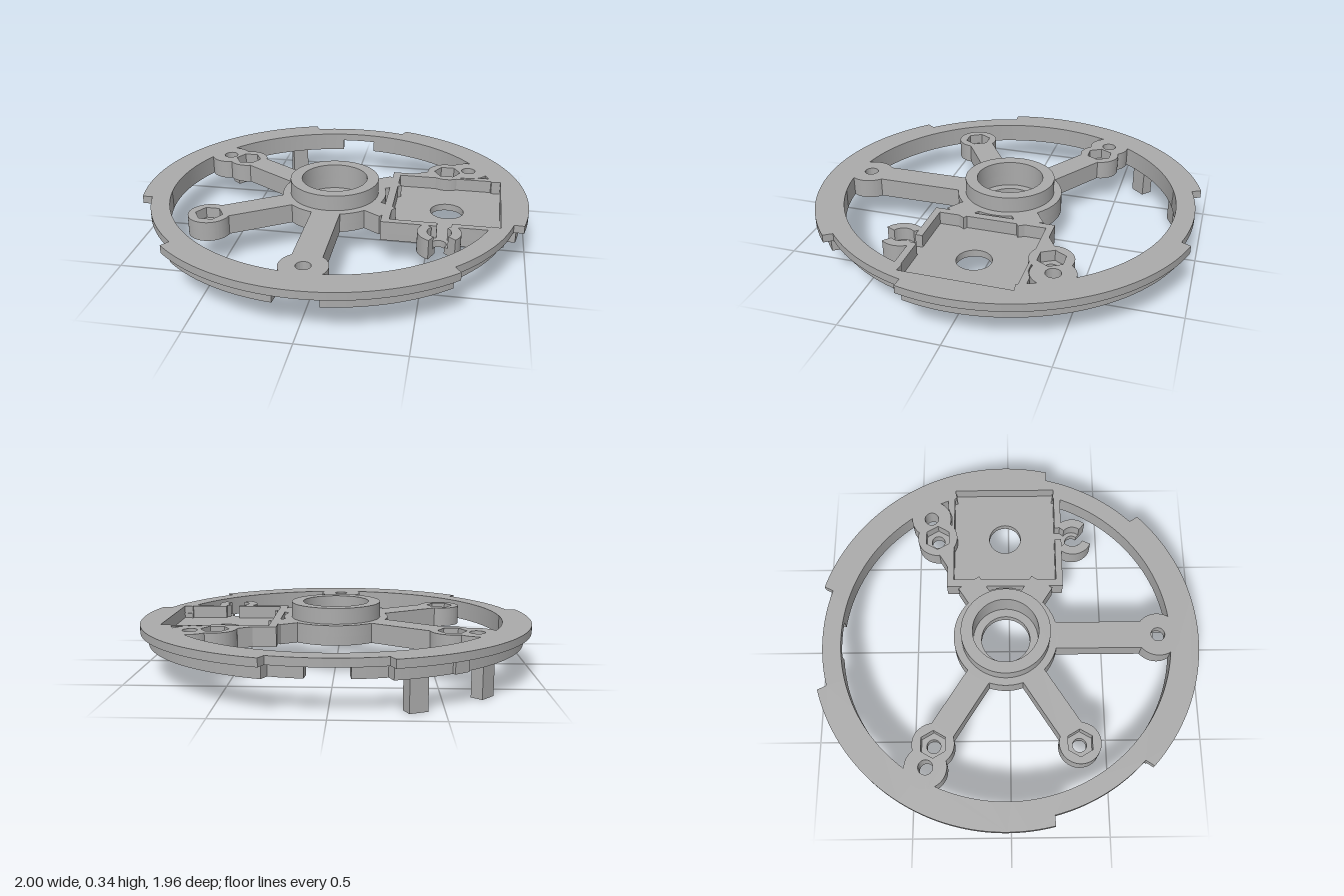
import * as THREE from 'three';
import { toCreasedNormals } from 'three/addons/utils/BufferGeometryUtils.js';

const CZ = -0.02; // z of the wheel centre
const BOTTOM = 0.155, STEP = 0.215, TOP = 0.255;
const V = (x, z) => new THREE.Vector2(x, z);

export function createModel() {
  const model = new THREE.Group();
  const grey = new THREE.MeshStandardMaterial({ color: 0xaaaaaa });
  grey.name = 'grey plastic';

  // Extrude a plan drawn in x,z between two heights
  function slab(name, shape, y0, y1) {
    let geo = new THREE.ExtrudeGeometry(shape, { depth: y1 - y0, bevelEnabled: false, curveSegments: 40 });
    geo.rotateX(Math.PI / 2).translate(0, y1, 0);
    geo = toCreasedNormals(geo, 0.5);
    const mesh = new THREE.Mesh(geo, grey);
    mesh.name = name;
    model.add(mesh);
    return mesh;
  }
  const disc = (x, z, r) => new THREE.Shape().absarc(x, z, r, 0, Math.PI * 2, false);
  const hole = (x, z, r) => new THREE.Path().absarc(x, z, r, 0, Math.PI * 2, true);
  const hexHole = (x, z, r) => new THREE.Path(Array.from({ length: 6 }, (_, i) =>
    V(x + r * Math.cos(-i * Math.PI / 3), z + r * Math.sin(-i * Math.PI / 3))));
  const withHoles = (shape, ...holes) => { shape.holes.push(...holes); return shape; };

  // Rim: radius rules with three outer recesses and a flat beside the pocket
  const inRecess = a => [-90, 30, 150].some(d => Math.cos(a - d * Math.PI / 180) > Math.cos(0.285));
  const outer = r => a => inRecess(a) ? r - 0.05 : r;
  const inner = a => Math.cos(a) > 0 && Math.abs(0.86 * Math.tan(a)) < 0.272 ? 0.86 / Math.cos(a) : 0.855;
  function arcPoints(rule, a0, a1) {
    const n = Math.round((a1 - a0) / (Math.PI / 360));
    return Array.from({ length: n + 1 }, (_, i) => {
      const a = a0 + (a1 - a0) * i / n, r = rule(a);
      return V(r * Math.cos(a), CZ + r * Math.sin(a));
    });
  }
  const full = rule => arcPoints(rule, 0, Math.PI * 2).slice(0, -1);
  slab('upperRim', withHoles(new THREE.Shape(full(outer(1))), new THREE.Path(full(inner).reverse())), STEP, TOP);
  // Lower rim: two halves, with gaps at the front and back
  for (const start of [-Math.PI / 2, Math.PI / 2]) {
    const a0 = start + 0.11, a1 = start + Math.PI - 0.11;
    slab('lowerRim', new THREE.Shape([...arcPoints(outer(0.96), a0, a1), ...arcPoints(inner, a0, a1).reverse()]), BOTTOM, STEP);
  }

  // Hub with a stepped bore and raised collar
  slab('hubFloor', withHoles(disc(0, CZ, 0.27), hole(0, CZ, 0.127)), BOTTOM, 0.2);
  slab('hubBase', withHoles(disc(0, CZ, 0.27), hole(0, CZ, 0.17)), 0.2, TOP);
  slab('hubCollar', withHoles(disc(0, CZ, 0.23), hole(0, CZ, 0.17)), TOP, 0.335);

  // Spokes, measured outwards from the hub centre
  function spoke(x, z, r0, r1, w, y1 = TOP) {
    const l = Math.hypot(x, z - CZ), dx = x / l, dz = (z - CZ) / l;
    const p = (r, s) => V(dx * r - dz * s, CZ + dz * r + dx * s);
    slab('spoke', new THREE.Shape([p(r0, -w), p(r1, -w), p(r1, w), p(r0, w)]), BOTTOM, y1);
  }
  spoke(0, 0.77, 0.22, 0.725, 0.072);
  spoke(-0.57, -0.385, 0.22, 0.6, 0.065);
  spoke(-0.57, 0.345, 0.22, 0.6, 0.065);
  spoke(0.57, -0.385, 0.22, 0.36, 0.065);
  spoke(0.57, 0.345, 0.22, 0.36, 0.065);

  // Layers of a nut seat: round hole below, hexagon above
  function nutSeat(name, makeShape, x, z, ...extra) {
    slab(name, withHoles(makeShape(), hole(x, z, 0.035), ...extra), BOTTOM, 0.2);
    slab(name, withHoles(makeShape(), hexHole(x, z, 0.07), ...extra), 0.2, TOP);
  }
  nutSeat('frontNutBoss', () => disc(-0.57, 0.345, 0.105), -0.57, 0.345);

  // Back double bosses, one nut seat and one screw hole each
  for (const s of [-1, 1]) {
    const ax = s * 0.57, az = -0.385, bx = s * 0.685, bz = -0.42, r = 0.106;
    const t = Math.atan2(bz - az, bx - ax);
    const k = Math.acos(Math.hypot(bx - ax, bz - az) / 2 / r);
    const outline = () => new THREE.Shape()
      .absarc(ax, az, r, t + k, t - k + Math.PI * 2, false)
      .absarc(bx, bz, r, t + Math.PI + k, t + Math.PI * 3 - k, false);
    nutSeat('backDoubleBoss', outline, ax, az, hole(bx, bz, 0.037));
  }
  // Fillet between the right back spoke and the double boss
  slab('bossWeb', new THREE.Shape([V(0.38, -0.32), V(0.47, -0.375), V(0.5, -0.31), V(0.4, -0.31)]), BOTTOM, TOP);

  // Front screw boss, slotted underneath
  const h = 0.42;
  slab('frontScrewBossBase', new THREE.Shape()
    .absarc(0, 0.77, 0.115, Math.PI / 2 + h, Math.PI * 2.5 - h, false)
    .lineTo(0.047, 0.75).lineTo(-0.047, 0.75), BOTTOM, 0.21);
  slab('frontScrewBoss', withHoles(disc(0, 0.77, 0.115), hole(0, 0.77, 0.036)), 0.21, TOP);

  // Square pocket: floor and surrounding wall
  const back = [V(0.28, -0.33), V(0.46, -0.33), V(0.48, -0.31), V(0.7, -0.31), V(0.75, -0.33), V(0.81, -0.33), V(0.88, -0.3)];
  slab('pocketFloor', withHoles(new THREE.Shape([V(0.28, 0.285), ...back, V(0.88, 0.26), V(0.83, 0.285)]),
    hole(0.59, CZ, 0.085)), BOTTOM, 0.19);
  slab('pocketWall', new THREE.Shape([V(0.555, 0.285), V(0.28, 0.285), ...back, V(0.88, 0.26), V(0.83, 0.285),
    V(0.625, 0.285), V(0.625, 0.25), V(0.86, 0.25), V(0.86, -0.295), V(0.32, -0.295), V(0.32, 0.25), V(0.555, 0.25)]), 0.19, TOP);

  // Open clip in front of the pocket
  const clip = (r, a0, a1) => new THREE.Shape()
    .absarc(0.57, 0.345, 0.105, a0, a1, false).absarc(0.57, 0.345, r, a1, a0, true);
  slab('clipBase', clip(0.037, 2, 7), BOTTOM, 0.19);
  slab('clipLeftJaw', clip(0.058, 2, 3.95), 0.19, TOP);
  slab('clipRightJaw', clip(0.058, 5.4, 7), 0.19, TOP);

  // Legs and small tab under the rim
  function rimBlock(name, deg, r, depth, width, y0, y1) {
    const a = deg * Math.PI / 180;
    const mesh = new THREE.Mesh(new THREE.BoxGeometry(depth, y1 - y0, width), grey);
    mesh.position.set(r * Math.cos(a), (y0 + y1) / 2, CZ + r * Math.sin(a));
    mesh.rotation.y = -a;
    mesh.name = name;
    model.add(mesh);
  }
  rimBlock('leg', 221.5, 0.917, 0.062, 0.09, 0, 0.2);
  rimBlock('leg', 246, 0.917, 0.062, 0.09, 0, 0.2);
  rimBlock('rimTab', 234, 0.955, 0.04, 0.08, BOTTOM, STEP);
  return model;
}
